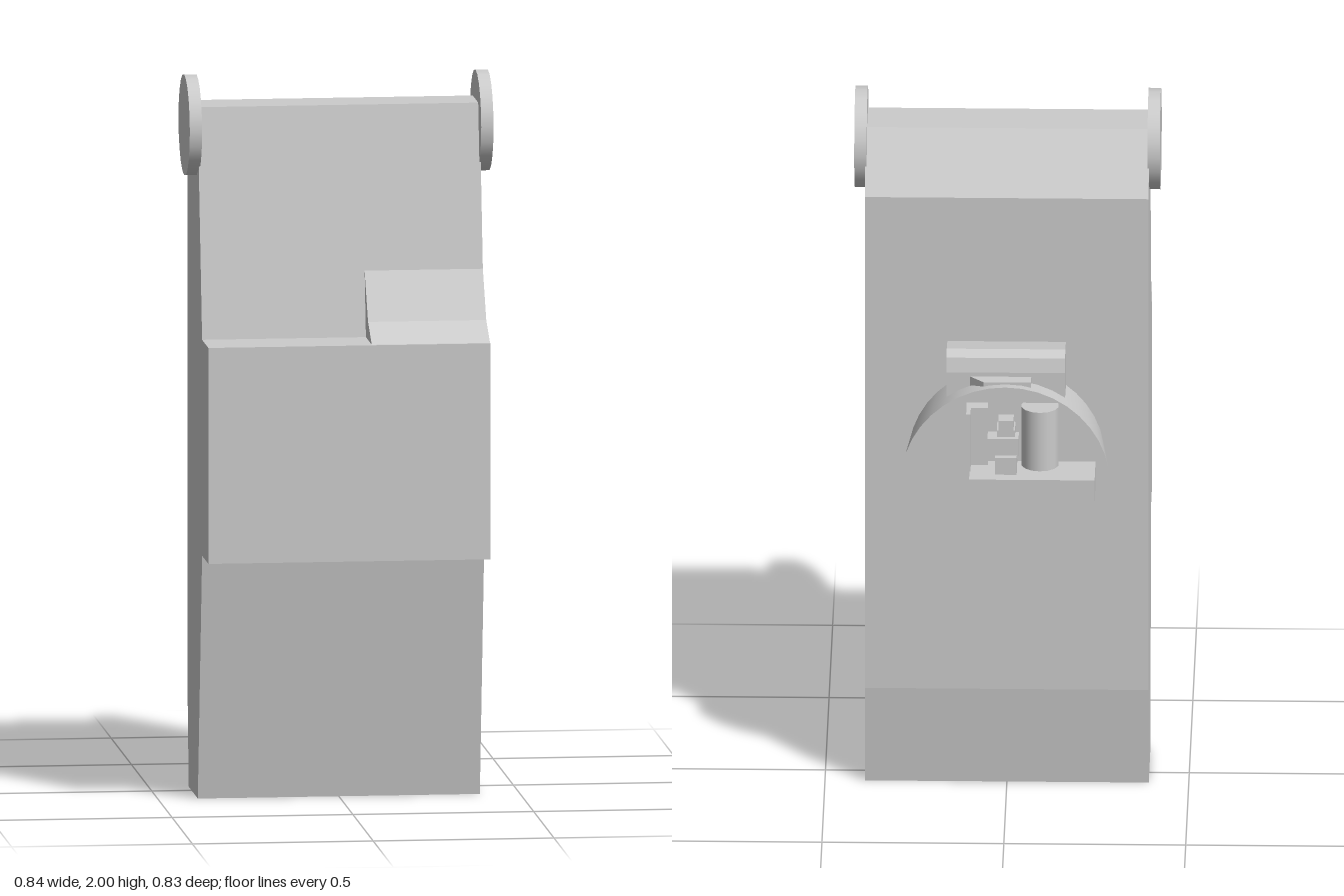
import * as THREE from 'three';

const material = new THREE.MeshStandardMaterial({ color: 0xcccccc });

function add(parent, name, geometry, x = 0, y = 0, z = 0) {
  const mesh = new THREE.Mesh(geometry, material);
  mesh.name = name;
  mesh.position.set(x, y, z);
  parent.add(mesh);
  return mesh;
}

// Side profile given as [z, y] points, extruded across from x0 to x1
function sideExtrude(points, x0, x1) {
  const shape = new THREE.Shape(points.map(([z, y]) => new THREE.Vector2(z, y)));
  return new THREE.ExtrudeGeometry(shape, { depth: x1 - x0, bevelEnabled: false })
    .rotateY(-Math.PI / 2)
    .translate(x1, 0, 0);
}

export function createModel() {
  const group = new THREE.Group();

  // Tapered slab with the thick block across its front
  add(group, 'body', sideExtrude([
    [0.155, 0], [0.26, 0.69], [0.415, 0.69], [0.415, 1.29], [0.26, 1.29],
    [0.15, 1.92], [0.015, 1.92], [-0.1, 1.76], [-0.1, 0.29], [-0.07, 0],
  ], -0.39, 0.39));

  // Sloped fillet on the left half of the front step
  add(group, 'frontWedge', sideExtrude([
    [0.415, 1.285], [0.313, 1.34], [0.229, 1.47], [0.2, 1.47], [0.2, 1.285],
  ], 0.063, 0.39));

  // End discs at the top corners
  for (const side of [-1, 1]) {
    const disc = new THREE.CylinderGeometry(0.14, 0.14, 0.034, 20).rotateZ(Math.PI / 2);
    add(group, side > 0 ? 'leftDisc' : 'rightDisc', disc, side * 0.403, 1.862, 0.085);
  }

  // Flared drum on the back
  const drum = new THREE.CylinderGeometry(0.288, 0.27, 0.19, 40).rotateX(-Math.PI / 2);
  add(group, 'drum', drum, 0, 0.987, -0.195);

  // Brackets above and below the drum
  add(group, 'upperBracket', sideExtrude([
    [-0.095, 1.15], [-0.095, 1.33], [-0.19, 1.347], [-0.213, 1.33], [-0.222, 1.29], [-0.222, 1.15],
  ], -0.163, 0.163));
  const lower = sideExtrude([
    [-0.095, 0.8], [-0.095, 0.575], [-0.218, 0.553], [-0.218, 0.8],
  ], -0.165, 0.165);
  const p = lower.attributes.position;
  for (let i = 0; i < p.count; i++) {
    if (p.getY(i) < 0.7) p.setX(i, p.getX(i) * 0.8);
  }
  lower.computeVertexNormals();
  add(group, 'lowerBracket', lower);

  // Small tab on the drum rim
  const tab = new THREE.Shape([
    [-0.07, 0.21], [0.11, 0.21], [0.06, 0.262], [-0.07, 0.262],
  ].map(([x, z]) => new THREE.Vector2(x, z)));
  const tabGeometry = new THREE.ExtrudeGeometry(tab, { depth: 0.04, bevelEnabled: false })
    .rotateX(-Math.PI / 2);
  add(group, 'rimTab', tabGeometry, 0, 1.238, 0);

  // Shelf with an arched underside
  const shelf = new THREE.Shape();
  shelf.moveTo(-0.248, 1.055);
  shelf.lineTo(-0.248, 0.985);
  shelf.lineTo(-0.19, 0.985);
  shelf.quadraticCurveTo(-0.06, 1.055, 0.075, 0.985);
  shelf.lineTo(0.097, 0.985);
  shelf.lineTo(0.097, 1.055);
  const shelfGeometry = new THREE.ExtrudeGeometry(shelf, { depth: 0.14, bevelEnabled: false, curveSegments: 8 });
  add(group, 'shelf', shelfGeometry, 0, 0, -0.42);

  // Items standing on the shelf
  add(group, 'canister', new THREE.CylinderGeometry(0.052, 0.052, 0.18, 14), -0.096, 1.14, -0.308);
  add(group, 'sidePost', new THREE.BoxGeometry(0.055, 0.17, 0.05), 0.075, 1.145, -0.305);
  add(group, 'sidePanel', new THREE.BoxGeometry(0.012, 0.17, 0.09), 0.1, 1.145, -0.33);

  const figure = new THREE.Group();
  figure.name = 'smallFigure';
  add(figure, 'base', new THREE.BoxGeometry(0.06, 0.05, 0.1), -0.003, 1.08, -0.335);
  add(figure, 'trunk', new THREE.BoxGeometry(0.086, 0.06, 0.05), 0.005, 1.125, -0.343);
  add(figure, 'neck', new THREE.BoxGeometry(0.05, 0.03, 0.06), -0.003, 1.16, -0.325);
  add(figure, 'head', new THREE.BoxGeometry(0.042, 0.04, 0.045), -0.003, 1.185, -0.337);
  group.add(figure);

  return group;
}
